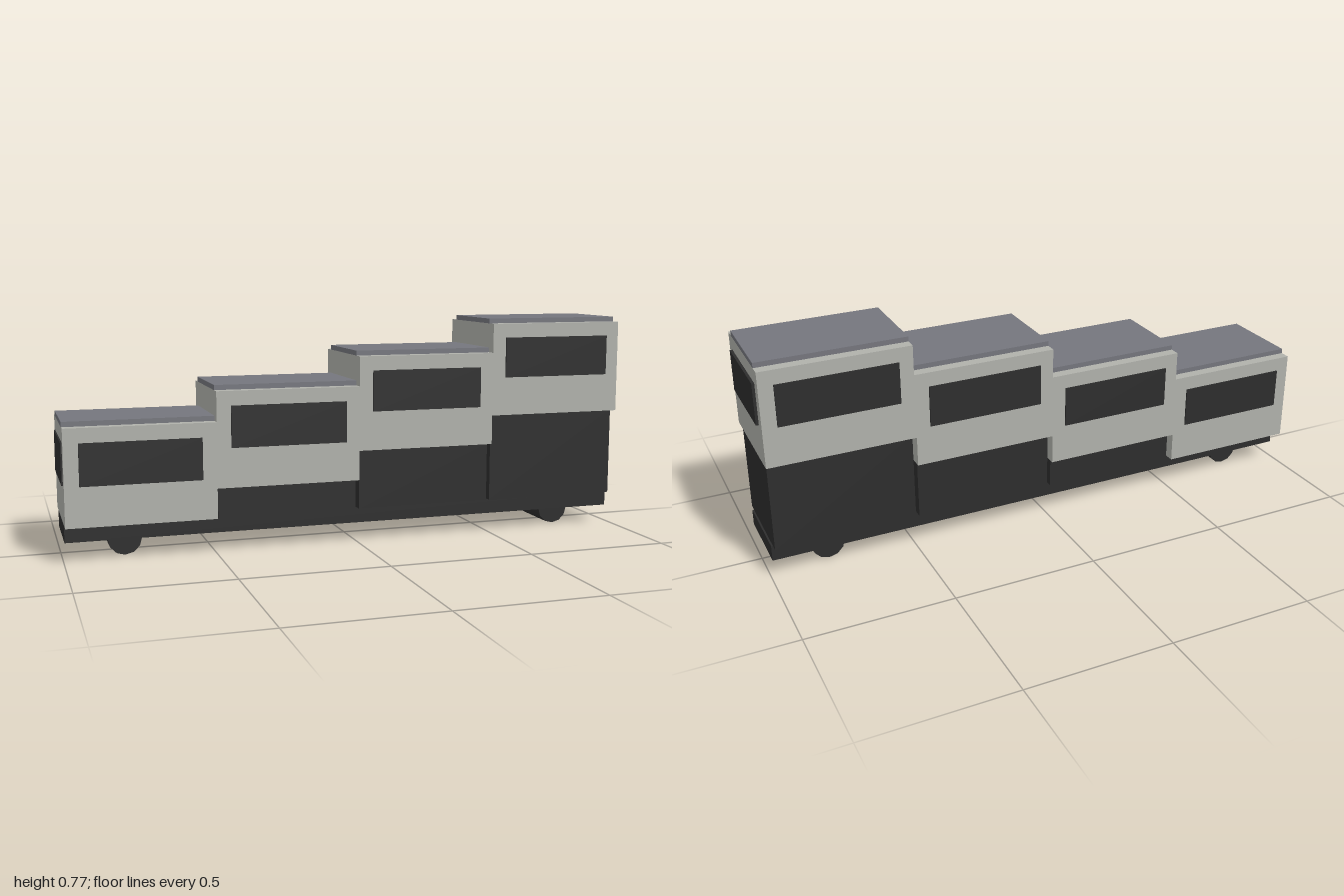
import * as THREE from 'three';

export function createModel() {
  const model = new THREE.Group();
  model.name = 'steppedRailcar';

  const mat = (name, color) => {
    const m = new THREE.MeshStandardMaterial({ color });
    m.name = name;
    return m;
  };
  const grey = mat('warm grey', 0xb0b1ab);
  const slate = mat('slate roof', 0x75767d);
  const dark = mat('charcoal', 0x2d2d2d);

  // Box placed by its centre in x and z and by its bottom in y
  const box = (parent, name, material, w, h, d, x, y, z = 0) => {
    const mesh = new THREE.Mesh(new THREE.BoxGeometry(w, h, d), material);
    mesh.name = name;
    mesh.position.set(x, y + h / 2, z);
    parent.add(mesh);
  };

  const midX = -0.002, pitch = 0.4965, rise = 0.1023;
  const floorY = 0.118, bodyH = 0.325, halfZ = 0.185, plate = 0.006;

  // Long base beam
  box(model, 'chassis', dark, pitch * 4, 0.055, 0.258, midX, 0.063);

  // Four cabins climbing in equal steps, each on a taller pedestal
  for (let i = 0; i < 4; i++) {
    const cabin = new THREE.Group();
    cabin.name = `cabin${i + 1}`;
    const x = midX + (i - 1.5) * pitch;
    const y = 0.122 + i * rise;

    box(cabin, 'body', grey, pitch, bodyH, halfZ * 2, x, y);
    box(cabin, 'roof', slate, pitch, 0.017, 0.296, x, y + bodyH);
    if (i > 0) box(cabin, 'pedestal', dark, pitch - 0.012, y - floorY, 0.316, x, floorY);

    for (const side of [-1, 1]) {
      box(cabin, 'sideWindow', dark, 0.4, 0.141, plate, x, y + 0.135, side * (halfZ + plate / 2 - 0.001));
    }
    // Windows on the outer ends only
    if (i === 0) box(cabin, 'endWindow', dark, plate, 0.141, 0.296, -0.997, y + 0.135);
    if (i === 3) box(cabin, 'endWindow', dark, 0.009, 0.141, 0.296, 0.9955, y + 0.135);
    model.add(cabin);
  }

  // Rollers lying across the underside
  for (const side of [-1, 1]) {
    const roller = new THREE.Mesh(new THREE.CylinderGeometry(0.057, 0.057, 0.182, 12), dark);
    roller.name = 'roller';
    roller.rotation.x = Math.PI / 2;
    roller.position.set(midX + side * 0.794, 0.057, 0);
    model.add(roller);
  }
  return model;
}
